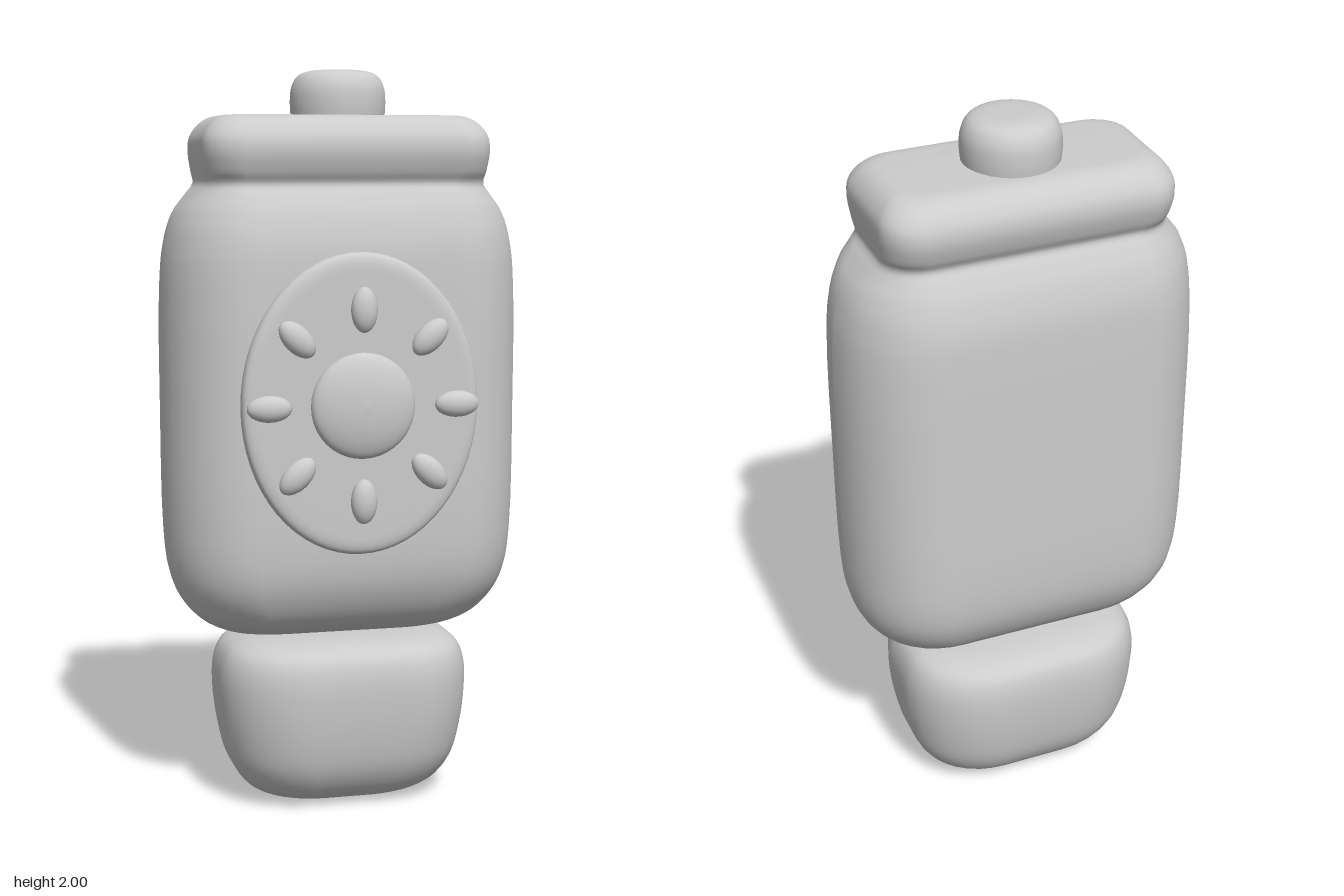
import * as THREE from 'three';

const grey = new THREE.MeshStandardMaterial({ color: 0xcccccc });
grey.name = 'plain grey';

const Z0 = -0.037; // middle of the body's depth

// Smooth loft of rounded rectangles. Row: [y, halfWidth, halfDepth, cornerX, cornerZ],
// corners given as a fraction of the half sizes.
function loft(rows, steps = 4, n = 8) {
  const size = new THREE.CatmullRomCurve3(rows.map(r => new THREE.Vector3(r[1], r[0], r[2])), false, 'centripetal');
  const count = (rows.length - 1) * steps;
  const ring = 4 * (n + 1);
  const pos = [], index = [];
  for (let i = 0; i <= count; i++) {
    const p = size.getPoint(i / count);
    const k = Math.min(Math.floor(i / steps), rows.length - 2);
    const t = i / steps - k;
    const hx = Math.max(p.x, 0), hz = Math.max(p.z, 0);
    const rx = hx * THREE.MathUtils.lerp(rows[k][3], rows[k + 1][3], t);
    const rz = hz * THREE.MathUtils.lerp(rows[k][4], rows[k + 1][4], t);
    for (let q = 0; q < 4; q++) {
      const sx = q === 0 || q === 3 ? 1 : -1, sz = q < 2 ? 1 : -1;
      for (let j = 0; j <= n; j++) {
        const a = (q + j / n) * Math.PI / 2;
        pos.push(sx * (hx - rx) + rx * Math.cos(a), p.y, Z0 + sz * (hz - rz) + rz * Math.sin(a));
      }
    }
  }
  for (let i = 0; i < count; i++) {
    for (let j = 0; j < ring; j++) {
      const a = i * ring + j, b = i * ring + (j + 1) % ring;
      index.push(a, a + ring, b, b, a + ring, b + ring);
    }
  }
  const g = new THREE.BufferGeometry();
  g.setAttribute('position', new THREE.Float32BufferAttribute(pos, 3));
  g.setIndex(index);
  g.computeVertexNormals();
  return g;
}

function lathe(points, segments) {
  const curve = new THREE.CatmullRomCurve3(points.map(p => new THREE.Vector3(p[0], p[1], 0)), false, 'centripetal');
  const profile = curve.getPoints(points.length * 4).map(p => new THREE.Vector2(Math.max(p.x, 0), p.y));
  return new THREE.LatheGeometry(profile, segments);
}

export function createModel() {
  const model = new THREE.Group();
  const add = (name, geometry, parent = model) => {
    const mesh = new THREE.Mesh(geometry, grey);
    mesh.name = name;
    parent.add(mesh);
    return mesh;
  };

  // rounded foot
  add('foot', loft([
    [0.005, 0, 0, 0.7, 0.8], [0.006, 0.17, 0.1, 0.7, 0.8], [0.025, 0.235, 0.15, 0.7, 0.8],
    [0.06, 0.28, 0.19, 0.65, 0.8], [0.12, 0.315, 0.225, 0.65, 0.8], [0.2, 0.335, 0.245, 0.65, 0.8],
    [0.3, 0.347, 0.257, 0.65, 0.8], [0.38, 0.344, 0.257, 0.65, 0.8], [0.43, 0.325, 0.243, 0.65, 0.8],
    [0.457, 0.285, 0.205, 0.65, 0.8], [0.47, 0.22, 0.14, 0.65, 0.8], [0.472, 0, 0, 0.65, 0.8],
  ]));

  // body, narrowing to a neck and swelling into the lid
  add('bodyAndLid', loft([
    [0.46, 0, 0, 0.5, 0.9], [0.463, 0.23, 0.03, 0.5, 0.9], [0.48, 0.32, 0.1, 0.5, 0.9],
    [0.52, 0.395, 0.165, 0.47, 0.95], [0.58, 0.445, 0.208, 0.45, 0.97], [0.65, 0.472, 0.235, 0.45, 0.98],
    [0.76, 0.485, 0.248, 0.45, 0.98], [1.1, 0.49, 0.25, 0.45, 0.98], [1.42, 0.488, 0.249, 0.45, 0.98],
    [1.54, 0.476, 0.243, 0.45, 0.96], [1.62, 0.45, 0.222, 0.42, 0.9], [1.67, 0.41, 0.197, 0.35, 0.75],
    [1.7, 0.384, 0.181, 0.28, 0.55], [1.73, 0.386, 0.196, 0.25, 0.5], [1.78, 0.391, 0.211, 0.25, 0.47],
    [1.82, 0.388, 0.208, 0.25, 0.47], [1.855, 0.367, 0.186, 0.25, 0.47], [1.876, 0.335, 0.15, 0.25, 0.47],
    [1.88, 0.29, 0.1, 0.25, 0.47], [1.881, 0, 0, 0.25, 0.47],
  ]));

  // top knob
  add('knob', lathe([
    [0.125, 1.86], [0.129, 1.91], [0.125, 1.955], [0.108, 1.985], [0.075, 1.998], [0, 2],
  ], 32)).position.z = Z0;

  // front dial, all turned to face forward
  const dial = new THREE.Group();
  dial.name = 'dial';
  dial.position.set(0, 1.125, 0);
  model.add(dial);

  const plate = add('dialPlate', lathe([
    [0, 0.18], [0.29, 0.18], [0.312, 0.195], [0.32, 0.215], [0.315, 0.235], [0.3, 0.243], [0.26, 0.245], [0, 0.245],
  ], 64), dial);
  plate.rotation.x = Math.PI / 2;
  plate.scale.z = 1.25;

  const button = add('dialButton', lathe([
    [0.135, 0.235], [0.14, 0.25], [0.134, 0.264], [0.11, 0.278], [0.06, 0.291], [0, 0.296],
  ], 40), dial);
  button.rotation.x = Math.PI / 2;

  // ring of oval beads
  for (let i = 0; i < 8; i++) {
    const a = i * Math.PI / 4;
    const bead = add('dialBead', new THREE.SphereGeometry(1, 20, 14), dial);
    bead.position.set(0.252 * Math.cos(a), 0.252 * Math.sin(a), 0.26);
    bead.rotation.z = a;
    bead.scale.set(0.06, 0.035, 0.027);
  }
  return model;
}
